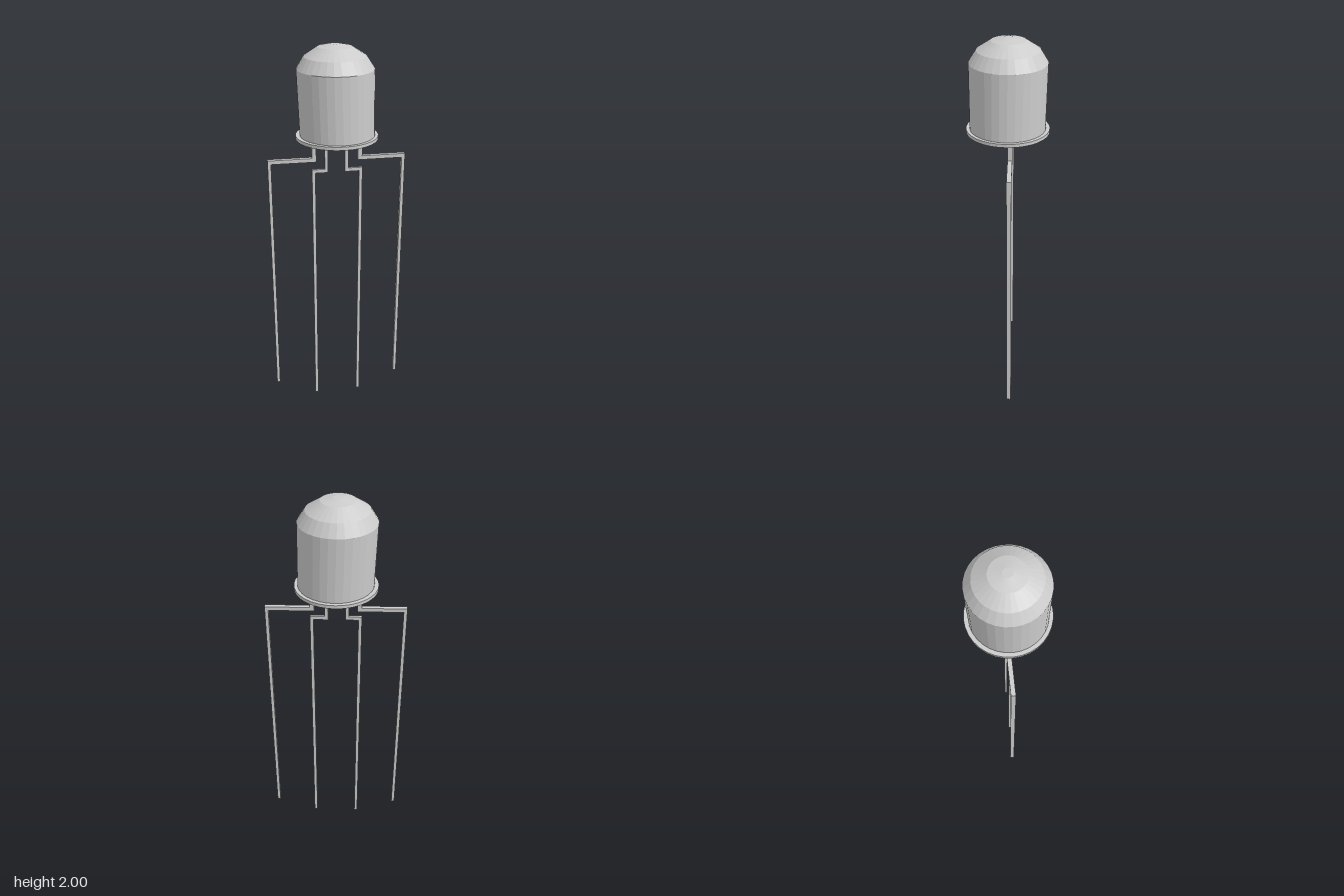
import * as THREE from 'three';

const grey = () => new THREE.MeshStandardMaterial({ color: 0xcccccc, flatShading: true });

// Bent flat-strip lead: a leg, a horizontal step, then a riser into the base.
// leg and riser are [outer x, inner x]; step is [bottom y, top y].
function makeLead(name, side, leg, riser, foot, step, zBack, zFront) {
  const pts = [
    [leg[0], foot], [leg[1], foot], [leg[1], step[0]], [riser[1], step[0]],
    [riser[1], 1.55], [riser[0], 1.55], [riser[0], step[1]], [leg[0], step[1]],
  ].map(([x, y]) => new THREE.Vector2(side * x, y));
  const geo = new THREE.ExtrudeGeometry(new THREE.Shape(pts), { depth: zFront - zBack, bevelEnabled: false });
  geo.translate(0, 0, zBack);
  const mesh = new THREE.Mesh(geo, grey());
  mesh.name = name;
  return mesh;
}

export function createModel() {
  const model = new THREE.Group();
  model.name = 'fourLeadLamp';

  // Domed lens, leaning very slightly towards -x and -z
  const baseY = 1.56;
  const profile = [[0, baseY], [0.186, baseY], [0.189, 1.885], [0.152, 1.943], [0.084, 1.987], [0.023, 2], [0, 2]]
    .map(([r, y]) => new THREE.Vector2(r, y));
  const lensGeo = new THREE.LatheGeometry(profile, 32);
  const pos = lensGeo.attributes.position;
  for (let i = 0; i < pos.count; i++) {
    const h = pos.getY(i) - baseY;
    pos.setX(i, pos.getX(i) - 0.025 * h);
    pos.setZ(i, pos.getZ(i) - 0.01 * h);
  }
  lensGeo.computeVertexNormals();
  const lens = new THREE.Mesh(lensGeo, grey());
  lens.name = 'lens';
  model.add(lens);

  // Thin rim under the lens, closed below
  const rim = new THREE.Mesh(new THREE.CylinderGeometry(0.205, 0.205, 0.017, 32), grey());
  rim.position.set(-0.002, 1.5525, -0.001);
  rim.name = 'baseRim';
  model.add(rim);

  // Two pairs of leads, wide and short outside, narrow and long inside
  for (const [side, label] of [[1, 'left'], [-1, 'right']]) {
    model.add(makeLead(label + 'OuterLead', side, [0.35, 0.333], [0.128, 0.106], 0.095, [1.42, 1.44], -0.025, -0.002));
    model.add(makeLead(label + 'InnerLead', side, [0.129, 0.112],
      side > 0 ? [0.057, 0.038] : [0.064, 0.047], 0, [1.363, 1.381], -0.012, 0.003));
  }
  return model;
}
